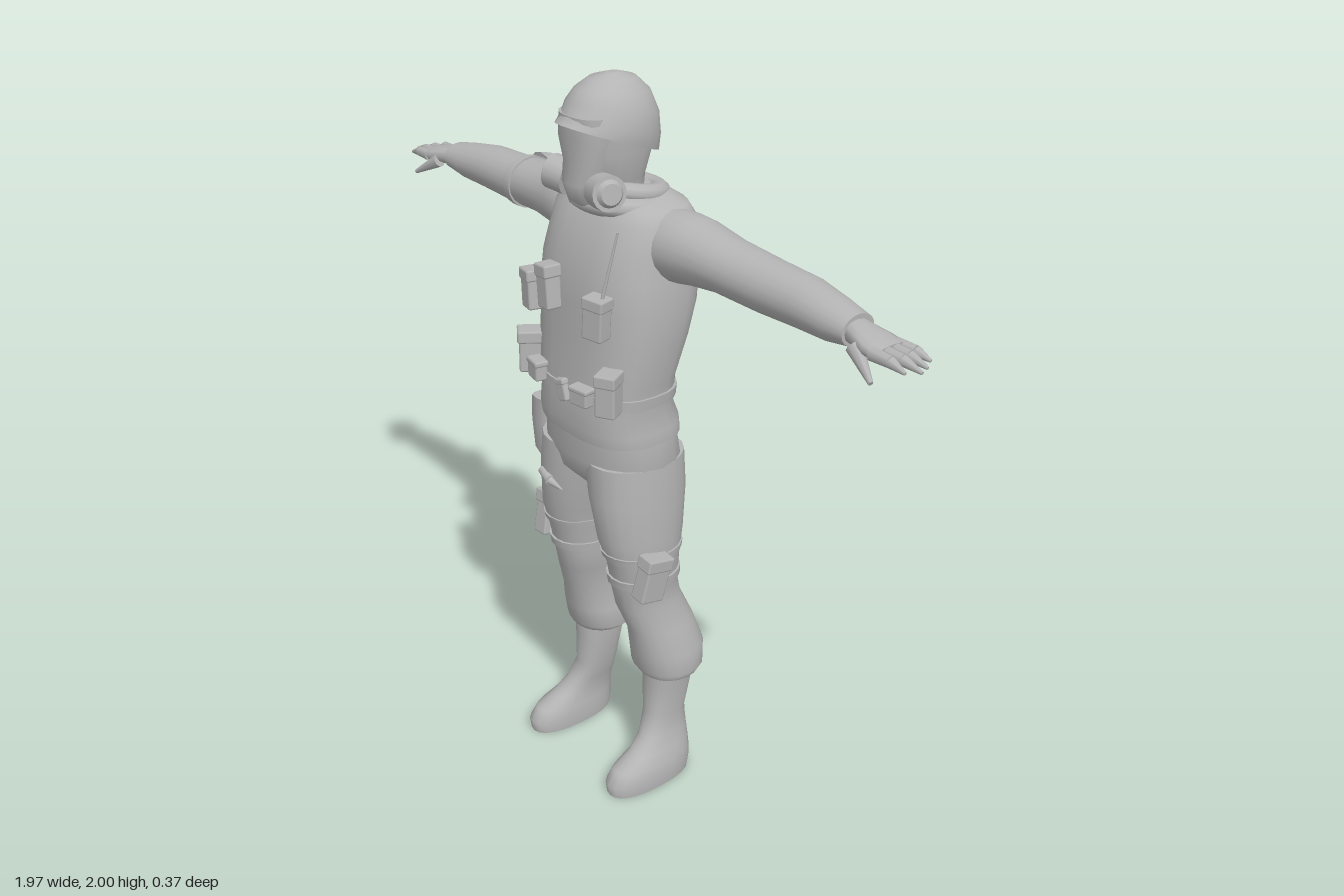
import * as THREE from 'three';
import { RoundedBoxGeometry } from 'three/addons/geometries/RoundedBoxGeometry.js';

const cloth = new THREE.MeshStandardMaterial({ color: 0xb4b4b4 });
cloth.name = 'plain grey';
cloth.side = THREE.DoubleSide;

// Smooth skin through cross-sections [t, u0, u1, v0, v1].
// axis 'y': t=y, u=x, v=z.   axis 'x': t=x, u=z, v=y.
function loft(rows, { axis = 'y', sides = 20, power = 2.3, caps = true } = {}) {
  const pos = [], idx = [];
  const put = (t, u, v) => pos.push(...(axis === 'y' ? [u, t, v] : [t, v, u]));
  const bend = (c) => Math.sign(c) * Math.abs(c) ** (2 / power);
  const ring = ([t, u0, u1, v0, v1]) => {
    for (let j = 0; j < sides; j++) {
      const a = (j / sides) * Math.PI * 2;
      put(t, (u0 + u1) / 2 + ((u1 - u0) / 2) * bend(Math.cos(a)),
        (v0 + v1) / 2 + ((v1 - v0) / 2) * bend(Math.sin(a)));
    }
  };
  rows.forEach(ring);
  for (let i = 0; i < rows.length - 1; i++) {
    for (let j = 0; j < sides; j++) {
      const k = (j + 1) % sides, a = i * sides, b = a + sides;
      idx.push(a + j, b + j, a + k, b + j, b + k, a + k);
    }
  }
  if (caps) {
    [rows[0], rows[rows.length - 1]].forEach((r, end) => {
      const s = pos.length / 3;
      ring(r);
      put(r[0], (r[1] + r[2]) / 2, (r[3] + r[4]) / 2);
      for (let j = 0; j < sides; j++) {
        const k = (j + 1) % sides;
        idx.push(s + sides, s + (end ? k : j), s + (end ? j : k));
      }
    });
  }
  const g = new THREE.BufferGeometry();
  g.setAttribute('position', new THREE.Float32BufferAttribute(pos, 3));
  g.setIndex(idx);
  g.computeVertexNormals();
  return g;
}

function add(parent, name, geo, p = [0, 0, 0], r = [0, 0, 0], s = [1, 1, 1]) {
  const m = new THREE.Mesh(geo, cloth);
  m.name = name;
  m.position.set(...p);
  m.rotation.set(...r);
  m.scale.set(...s);
  parent.add(m);
  return m;
}

// Tapered rod between two points
function rod(parent, name, a, b, r0, r1, sides = 8) {
  const A = new THREE.Vector3(...a), B = new THREE.Vector3(...b), d = B.clone().sub(A);
  const m = add(parent, name, new THREE.CylinderGeometry(r1, r0, d.length(), sides));
  m.position.copy(A).addScaledVector(d, 0.5);
  m.quaternion.setFromUnitVectors(new THREE.Vector3(0, 1, 0), d.normalize());
}

// Pouch with a closing flap
function pouch(parent, name, p, [w, h, d], r = [0, 0, 0]) {
  const g = new THREE.Group();
  g.name = name;
  g.position.set(...p);
  g.rotation.set(...r);
  add(g, 'pouchBody', new RoundedBoxGeometry(w, h, d, 1, 0.006));
  add(g, 'pouchFlap', new RoundedBoxGeometry(w * 1.08, h * 0.3, d * 1.15, 1, 0.006), [0, h * 0.36, 0]);
  parent.add(g);
}

function buildArm() {
  const arm = new THREE.Group();
  add(arm, 'sleeve', loft([
    [0.13, -0.13, 0.03, 1.53, 1.69], [0.2, -0.15, 0.035, 1.515, 1.695],
    [0.26, -0.15, 0.025, 1.525, 1.69], [0.36, -0.145, 0.01, 1.535, 1.67],
    [0.5, -0.14, 0.0, 1.53, 1.66], [0.62, -0.135, -0.002, 1.535, 1.655],
    [0.72, -0.12, -0.002, 1.54, 1.64], [0.785, -0.105, -0.005, 1.553, 1.628],
  ], { axis: 'x', power: 2 }));
  add(arm, 'palm', loft([
    [0.76, -0.085, -0.02, 1.565, 1.62], [0.8, -0.09, -0.01, 1.563, 1.615],
    [0.85, -0.1, 0.005, 1.56, 1.605], [0.89, -0.1, 0.0, 1.56, 1.595],
  ], { axis: 'x', sides: 12 }));
  [[-0.088, 0.955, -0.1], [-0.063, 0.975, -0.068], [-0.036, 0.985, -0.04], [-0.011, 0.965, -0.01]]
    .forEach(([z, x, tip]) => {
      rod(arm, 'finger', [0.87, 1.578, z], [(x + 0.88) / 2, 1.577, (z + tip) / 2], 0.017, 0.014);
      rod(arm, 'fingertip', [(x + 0.88) / 2, 1.577, (z + tip) / 2], [x, 1.566, tip], 0.014, 0.004);
    });
  rod(arm, 'thumb', [0.82, 1.575, -0.01], [0.9, 1.528, 0.02], 0.02, 0.006);
  return arm;
}

function buildLeg() {
  const leg = new THREE.Group();
  add(leg, 'trouserLeg', loft([
    [0.34, 0.07, 0.24, -0.16, 0.01], [0.36, 0.05, 0.25, -0.175, 0.022],
    [0.42, 0.058, 0.245, -0.178, 0.035], [0.5, 0.073, 0.222, -0.15, 0.05],
    [0.58, 0.056, 0.203, -0.118, 0.078], [0.64, 0.05, 0.205, -0.105, 0.09],
    [0.72, 0.045, 0.215, -0.105, 0.105], [0.8, 0.03, 0.217, -0.12, 0.13],
    [0.92, 0.0, 0.212, -0.138, 0.142], [1.02, -0.02, 0.205, -0.138, 0.14],
  ], { power: 2.1 }));
  add(leg, 'boot', loft([
    [0, 0.127, 0.243, -0.12, 0.155], [0.035, 0.125, 0.245, -0.125, 0.16],
    [0.07, 0.13, 0.238, -0.125, 0.135], [0.1, 0.134, 0.225, -0.125, 0.075],
    [0.14, 0.128, 0.213, -0.125, 0.03], [0.2, 0.112, 0.203, -0.125, 0.002],
    [0.3, 0.1, 0.213, -0.143, 0], [0.38, 0.1, 0.22, -0.14, 0],
  ]));
  // Two straps above the knee carry the side pouch
  add(leg, 'lowerThighStrap', loft([
    [0.655, 0.044, 0.214, -0.11, 0.1], [0.68, 0.042, 0.216, -0.11, 0.104]], { power: 2.1 }));
  add(leg, 'upperThighStrap', loft([
    [0.742, 0.036, 0.22, -0.113, 0.117], [0.76, 0.034, 0.221, -0.116, 0.122]], { power: 2.1 }));
  pouch(leg, 'thighPouch', [0.225, 0.71, 0.045], [0.05, 0.13, 0.075], [-0.2, 0, -0.08]);
  return leg;
}

function buildHead() {
  const head = new THREE.Group();
  head.name = 'head';
  add(head, 'skull', loft([
    [1.6, -0.065, 0.065, -0.095, 0.05], [1.7, -0.062, 0.062, -0.075, 0.05],
    [1.75, -0.072, 0.072, -0.078, 0.09], [1.82, -0.09, 0.09, -0.095, 0.115],
    [1.92, -0.09, 0.09, -0.1, 0.12]]));
  add(head, 'faceMask', loft([
    [1.68, -0.025, 0.025, 0.05, 0.09], [1.705, -0.045, 0.045, 0.03, 0.125],
    [1.75, -0.055, 0.055, 0.02, 0.14], [1.8, -0.068, 0.068, 0.02, 0.128],
    [1.86, -0.078, 0.078, 0.02, 0.138], [1.915, -0.078, 0.078, 0.02, 0.135]]));
  // Helmet rim slopes down from brow to nape
  const dome = loft([
    [1.84, -0.104, 0.104, -0.12, 0.155], [1.875, -0.108, 0.108, -0.122, 0.135],
    [1.92, -0.1, 0.1, -0.118, 0.122], [1.96, -0.08, 0.08, -0.097, 0.1],
    [1.988, -0.05, 0.05, -0.06, 0.065], [2.0, -0.012, 0.012, -0.015, 0.02]], { power: 2 });
  const p = dome.attributes.position;
  for (let i = 0; i < p.count; i++) {
    p.setY(i, p.getY(i) + 0.36 * p.getZ(i) * Math.max(0, (2 - p.getY(i)) / 0.16));
  }
  dome.computeVertexNormals();
  add(head, 'helmet', dome);
  for (const s of [-1, 1]) {
    rod(head, 'filterCanister', [s * 0.06, 1.74, 0.085], [s * 0.115, 1.748, 0.1], 0.044, 0.044, 16);
    rod(head, 'filterCap', [s * 0.113, 1.748, 0.099], [s * 0.127, 1.75, 0.103], 0.036, 0.026, 16);
  }
  // Folded scarf
  const fold = new THREE.TorusGeometry(0.1, 0.03, 10, 28);
  add(head, 'upperScarfFold', fold, [0, 1.715, -0.032], [Math.PI / 2 - 0.2, 0, 0], [0.9, 0.92, 0.8]);
  add(head, 'lowerScarfFold', fold, [0, 1.685, -0.028], [Math.PI / 2 - 0.1, 0, 0], [1.08, 1.05, 0.9]);
  return head;
}

export function createModel() {
  const body = new THREE.Group();
  body.name = 'soldierFigure';

  add(body, 'hips', loft([
    [0.92, -0.11, 0.11, -0.09, 0.09], [0.96, -0.185, 0.185, -0.13, 0.13],
    [1.02, -0.207, 0.207, -0.142, 0.145], [1.11, -0.195, 0.195, -0.13, 0.145]]));
  add(body, 'vest', loft([
    [1.085, -0.2, 0.2, -0.135, 0.152], [1.12, -0.2, 0.2, -0.132, 0.158],
    [1.17, -0.19, 0.19, -0.113, 0.156], [1.25, -0.2, 0.2, -0.112, 0.153],
    [1.36, -0.215, 0.215, -0.145, 0.143], [1.45, -0.22, 0.22, -0.17, 0.142],
    [1.53, -0.215, 0.215, -0.18, 0.134], [1.6, -0.204, 0.204, -0.178, 0.115],
    [1.66, -0.2, 0.2, -0.17, 0.09], [1.69, -0.175, 0.175, -0.155, 0.065],
    [1.715, -0.1, 0.1, -0.12, 0.05]], { sides: 28, power: 2.6 }));
  add(body, 'waistBelt', loft([
    [1.195, -0.2, 0.2, -0.117, 0.16], [1.225, -0.203, 0.203, -0.118, 0.159]],
  { sides: 28, power: 2.6 }));
  body.add(buildHead());

  // Limbs mirrored left and right
  for (const [side, s] of [['left', 1], ['right', -1]]) {
    const arm = buildArm(), leg = buildLeg();
    arm.name = side + 'Arm';
    leg.name = side + 'Leg';
    arm.scale.x = leg.scale.x = s;
    body.add(arm, leg);
  }

  // Chest and belt pouches
  pouch(body, 'chestPouch', [-0.135, 1.445, 0.153], [0.055, 0.105, 0.045], [0, -0.25, 0.08]);
  pouch(body, 'chestPouch', [-0.062, 1.475, 0.155], [0.052, 0.115, 0.045], [0, -0.1, 0.1]);
  pouch(body, 'radioPouch', [0.13, 1.45, 0.152], [0.06, 0.11, 0.045], [0, 0.25, -0.05]);
  rod(body, 'radioAntenna', [0.145, 1.49, 0.15], [0.165, 1.67, 0.115], 0.005, 0.003, 6);
  pouch(body, 'beltPouch', [-0.178, 1.255, 0.135], [0.055, 0.115, 0.06], [0, -0.6, 0]);
  pouch(body, 'beltPouch', [-0.112, 1.23, 0.16], [0.055, 0.055, 0.035], [0, -0.2, 0]);
  pouch(body, 'buckle', [0.005, 1.215, 0.165], [0.035, 0.06, 0.02], [0, 0, 0.3]);
  pouch(body, 'beltPouch', [0.08, 1.225, 0.162], [0.06, 0.05, 0.035], [0, 0.15, 0]);
  pouch(body, 'beltPouch', [0.162, 1.255, 0.14], [0.055, 0.115, 0.06], [0, 0.5, 0]);
  pouch(body, 'backPouch', [-0.09, 1.225, -0.115], [0.06, 0.065, 0.035]);

  // Holstered sidearm on the right hip
  add(body, 'holster', loft([
    [0.88, -0.255, -0.215, -0.01, 0.06], [0.91, -0.268, -0.2, -0.03, 0.075],
    [1.0, -0.275, -0.2, -0.035, 0.08], [1.07, -0.272, -0.2, -0.03, 0.08]], { sides: 12, power: 4 }));
  add(body, 'pistolGrip', new RoundedBoxGeometry(0.028, 0.1, 0.045, 1, 0.006), [-0.245, 1.105, 0.01], [-0.3, 0, 0.15]);
  rod(body, 'holsterStrap', [-0.215, 1.06, 0.03], [-0.195, 1.2, 0.04], 0.012, 0.012);

  // Small knife across the right thigh
  rod(body, 'knifeHandle', [-0.135, 0.912, 0.137], [-0.085, 0.903, 0.148], 0.012, 0.014);
  rod(body, 'knifeBlade', [-0.085, 0.903, 0.148], [-0.04, 0.89, 0.14], 0.012, 0.002);

  // Right arm band and round pad
  add(body, 'armBand', loft([
    [-0.475, -0.145, 0.006, 1.525, 1.665], [-0.445, -0.147, 0.008, 1.525, 1.668]],
  { axis: 'x', power: 2 }));
  rod(body, 'armPad', [-0.48, 1.605, -0.13], [-0.48, 1.608, -0.165], 0.056, 0.045, 12);

  return body;
}
